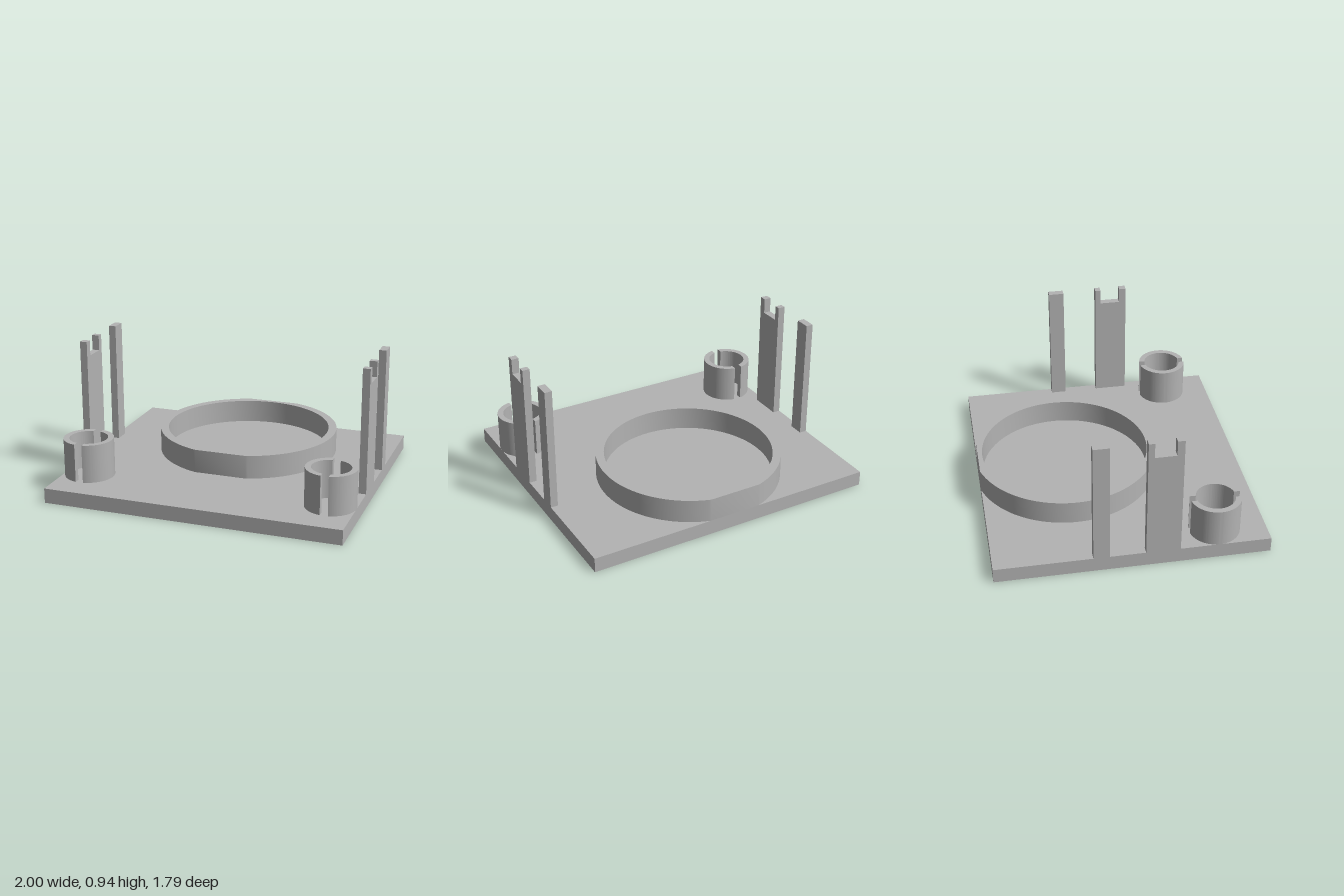
import * as THREE from 'three';
import { toCreasedNormals } from 'three/addons/utils/BufferGeometryUtils.js';

const BASE_TOP = 0.1;

export function createModel() {
  const model = new THREE.Group();
  model.name = 'mountingPlate';
  const grey = new THREE.MeshStandardMaterial({ color: 0xb3b3b3 });
  grey.name = 'grey';

  function add(name, geometry, parent = model) {
    const mesh = new THREE.Mesh(geometry, grey);
    mesh.name = name;
    parent.add(mesh);
    return mesh;
  }

  // Extrude a plan outline (x, -z) upwards, with smooth curved walls
  function extrudeUp(shape, height) {
    const g = new THREE.ExtrudeGeometry(shape, { depth: height, bevelEnabled: false, curveSegments: 48 });
    g.rotateX(-Math.PI / 2);
    return toCreasedNormals(g, 0.5);
  }

  // Base plate
  add('basePlate', new THREE.BoxGeometry(2, BASE_TOP, 1.792)).position.y = BASE_TOP / 2;

  // Large ring, trimmed flat at the front and back
  const outer = 0.622;
  const trim = Math.asin(0.596 / outer);
  const ring = new THREE.Shape();
  ring.absarc(0, 0, outer, -trim, trim, false);
  ring.absarc(0, 0, outer, Math.PI - trim, Math.PI + trim, false);
  ring.closePath();
  const bore = new THREE.Path();
  bore.absarc(0, 0, 0.566, 0, Math.PI * 2, true);
  ring.holes.push(bore);
  add('largeRing', extrudeUp(ring, 0.16)).position.set(0, BASE_TOP, -0.3);

  // Half of a split socket: an arc wall ending at a parallel-sided slot
  const R = 0.167, r = 0.128, slot = 0.026;
  const aOut = Math.acos(slot / R), aIn = Math.acos(slot / r);
  const half = new THREE.Shape();
  half.absarc(0, 0, R, -aOut, aOut, false);
  half.absarc(0, 0, r, aIn, -aIn, true);
  half.closePath();
  const halfGeometry = extrudeUp(half, 0.26);

  // Forked post outline in (-z, y)
  const fork = new THREE.Shape([
    [-0.3, 0], [-0.076, 0], [-0.076, 0.838], [-0.115, 0.838],
    [-0.115, 0.734], [-0.253, 0.734], [-0.253, 0.838], [-0.3, 0.838],
  ].map(([x, y]) => new THREE.Vector2(x, y)));
  const forkGeometry = new THREE.ExtrudeGeometry(fork, { depth: 0.05, bevelEnabled: false });
  forkGeometry.rotateY(Math.PI / 2).translate(-0.025, 0, 0);
  const postGeometry = new THREE.BoxGeometry(0.05, 0.838, 0.105);

  // Sockets and posts on both sides
  for (const [side, s] of [['left', 1], ['right', -1]]) {
    const socket = new THREE.Group();
    socket.name = side + 'SplitSocket';
    socket.position.set(s * 0.833, BASE_TOP, 0.557);
    model.add(socket);
    add('outerHalf', halfGeometry, socket);
    add('innerHalf', halfGeometry, socket).rotation.y = Math.PI;

    add(side + 'ForkedPost', forkGeometry).position.set(s * 0.975, BASE_TOP, 0);
    add(side + 'PlainPost', postGeometry).position.set(s * 0.975, BASE_TOP + 0.419, -0.21);
  }

  return model;
}
